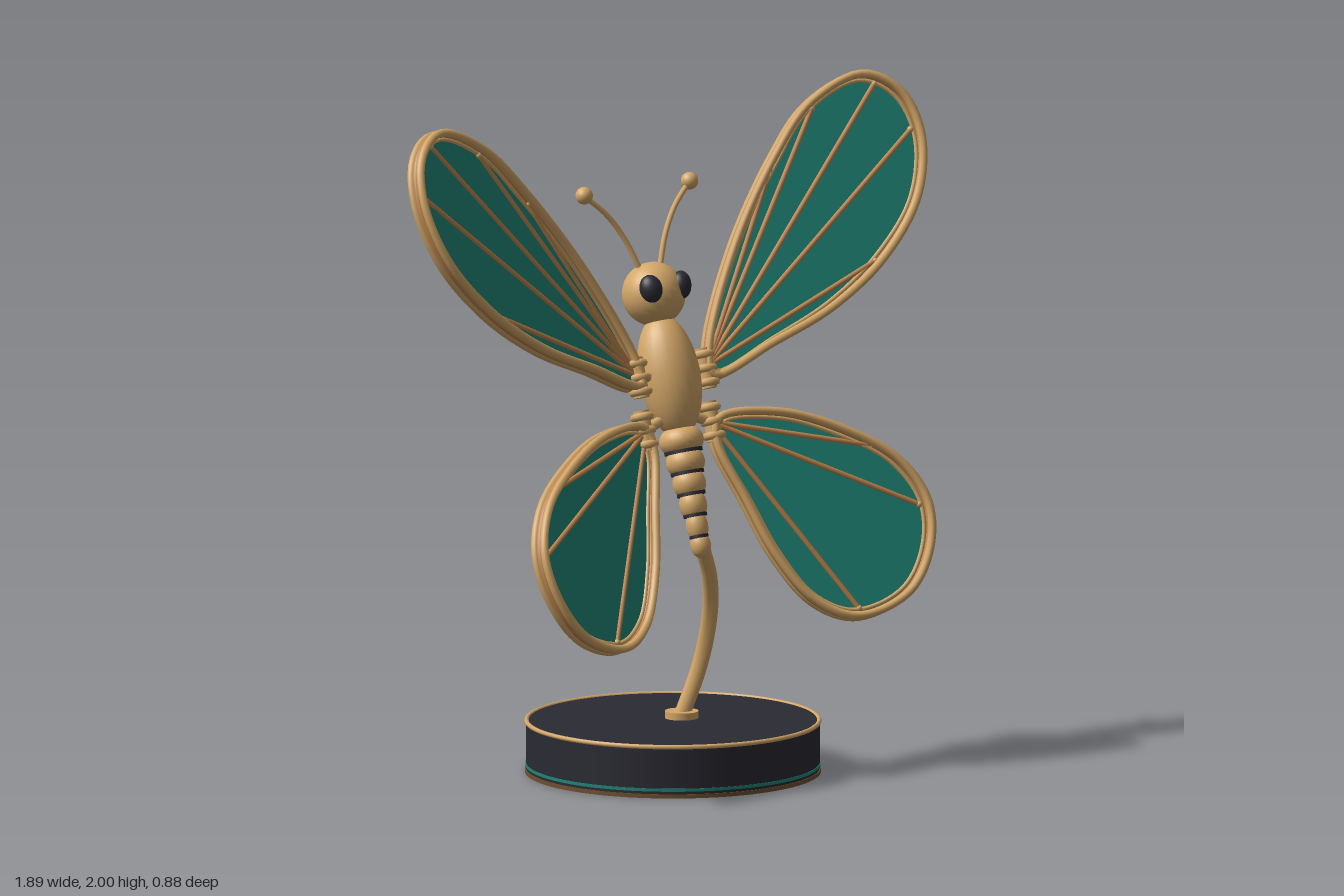
import * as THREE from 'three';

const V = (x, y, z) => new THREE.Vector3(x, y, z);
const mat = (name, color, side = THREE.FrontSide) => {
  const m = new THREE.MeshStandardMaterial({ color, side });
  m.name = name;
  return m;
};

export function createModel() {
  const gold = mat('gold', 0xd4a768);
  const copper = mat('copper', 0xc28850);
  const bronze = mat('bronze', 0x6e5030);
  const teal = mat('teal', 0x208577, THREE.DoubleSide);
  const dark = mat('charcoal', 0x2a2a33);

  const model = new THREE.Group();
  model.name = 'butterflyOrnament';

  const add = (name, geometry, material, pos = V(0, 0, 0), parent = model) => {
    const mesh = new THREE.Mesh(geometry, material);
    mesh.name = name;
    mesh.position.copy(pos);
    parent.add(mesh);
    return mesh;
  };
  const ball = (name, r, material, pos, parent) =>
    add(name, new THREE.SphereGeometry(r, 24, 16), material, pos, parent);
  const disc = (name, r, h, material, pos, parent) =>
    add(name, new THREE.CylinderGeometry(r, r, h, 24), material, pos, parent);
  const tube = (name, points, r, material, closed = false, parent = model) =>
    add(name, new THREE.TubeGeometry(new THREE.CatmullRomCurve3(points, closed), closed ? 96 : 24, r, 8, closed), material, V(0, 0, 0), parent);
  const rod = (name, a, b, r, material, parent) =>
    add(name, new THREE.TubeGeometry(new THREE.LineCurve3(a, b), 1, r, 8), material, V(0, 0, 0), parent);

  // Round base with trims
  const slab = (name, r, y0, y1, material) =>
    add(name, new THREE.CylinderGeometry(r, r, y1 - y0, 72), material, V(0, (y0 + y1) / 2, 0));
  slab('baseFoot', 0.437, 0, 0.012, bronze);
  slab('baseLowerBand', 0.434, 0.012, 0.02, dark);
  slab('baseStripe', 0.436, 0.02, 0.029, teal);
  slab('baseBody', 0.434, 0.029, 0.155, dark);
  add('baseRim', new THREE.TorusGeometry(0.432, 0.007, 8, 72).rotateX(Math.PI / 2), gold, V(0, 0.153, 0));

  // Curved stem
  disc('stemCollar', 0.05, 0.022, gold, V(0.04, 0.165, -0.01));
  tube('stem', [V(0.04, 0.16, -0.01), V(0.092, 0.3, 0.005), V(0.106, 0.4, 0.025),
    V(0.096, 0.5, 0.057), V(0.06, 0.6, 0.098), V(0, 0.7, 0.14)], 0.024, gold);

  // Leaning body: local origin at the thorax centre
  const body = new THREE.Group();
  body.name = 'body';
  body.position.set(0, 1.185, -0.016);
  body.rotation.x = -0.3;
  model.add(body);
  ball('thorax', 1, gold, V(0, 0, 0), body).scale.set(0.092, 0.185, 0.092);

  // Tapering abdomen rings with narrow dark joints
  const segments = 5;
  for (let i = 0; i < segments; i++) {
    const r = 0.067 - i * 0.0085;
    const y = -0.195 - i * 0.064;
    ball('abdomenSegment', 1, gold, V(0, y, 0), body).scale.set(r, 0.05, r);
    disc('abdomenJoint', r * 0.86, 0.01, dark, V(0, y - 0.032, 0), body);
  }
  ball('tailTip', 1, gold, V(0, -0.508, 0), body).scale.set(0.031, 0.04, 0.031);

  // Head
  ball('head', 0.095, gold, V(0, 1.42, -0.093));

  // Upper and lower wing outlines, given as outer edge points on the +x side
  const wings = [
    {
      name: 'upperWing', root: [0.13, 1.2, -0.005], slope: [0.27, -0.376], hingeDrop: 0.005, armRise: 0,
      edge: [[0.13, 1.235], [0.265, 1.51], [0.465, 1.785], [0.614, 1.926], [0.8, 1.995], [0.905, 1.935],
        [0.94, 1.81], [0.89, 1.634], [0.746, 1.46], [0.545, 1.326], [0.333, 1.24], [0.13, 1.165]],
      veins: [[0.45, 1.735], [0.62, 1.9], [0.825, 1.955], [0.905, 1.82], [0.71, 1.46]],
    },
    {
      name: 'lowerWing', root: [0.12, 1.04, 0.025], slope: [0.29, -0.351], hingeDrop: 0, armRise: 0.03,
      edge: [[0.13, 1.055], [0.317, 1.066], [0.52, 1.0], [0.667, 0.9], [0.73, 0.775], [0.709, 0.64],
        [0.614, 0.51], [0.44, 0.45], [0.317, 0.5], [0.222, 0.637], [0.159, 0.82], [0.111, 0.99]],
      veins: [[0.59, 0.94], [0.695, 0.765], [0.45, 0.485]],
    },
  ];

  const buildWing = ({ name, root, slope, hingeDrop, armRise, edge, veins }, s) => {
    const wing = new THREE.Group();
    wing.name = (s > 0 ? 'left' : 'right') + name[0].toUpperCase() + name.slice(1);
    model.add(wing);
    const depth = (x, y) => root[2] + slope[0] * (x - root[0]) + slope[1] * (y - root[1]);
    const normal = V(-slope[0], -slope[1], 1).normalize();
    // Point on the tilted wing plane, lifted along its normal and mirrored by s
    const at = (x, y, lift = 0) => {
      const p = V(x, y, depth(x, y)).addScaledVector(normal, lift);
      p.x *= s;
      return p;
    };
    const cx = edge.reduce((t, p) => t + p[0], 0) / edge.length;
    const cy = edge.reduce((t, p) => t + p[1], 0) / edge.length;
    const inset = d => edge.map(([x, y]) => {
      const k = 1 - d / Math.hypot(x - cx, y - cy);
      return [cx + (x - cx) * k, cy + (y - cy) * k];
    });

    // Membrane laid on the plane
    const rim = new THREE.CatmullRomCurve3(inset(0.015).map(([x, y]) => V(x, y, 0)), true).getPoints(80);
    const skin = new THREE.ShapeGeometry(new THREE.Shape(rim.map(p => new THREE.Vector2(p.x, p.y))));
    const pos = skin.attributes.position;
    for (let i = 0; i < pos.count; i++) {
      const p = at(pos.getX(i), pos.getY(i));
      pos.setXYZ(i, p.x, p.y, p.z);
    }
    skin.computeVertexNormals();
    add('membrane', skin, teal, V(0, 0, 0), wing);

    // Double outer frame, and a thin inner trim
    for (const lift of [-0.018, 0.018]) {
      tube('frame', inset(0.013).map(([x, y]) => at(x, y, lift)), 0.0125, gold, true, wing);
    }
    tube('frameCore', inset(0.015).map(([x, y]) => at(x, y)), 0.011, copper, true, wing);
    tube('innerTrim', inset(0.031).map(([x, y]) => at(x, y)), 0.007, gold, true, wing);

    // Veins fanning from the root to riveted ends
    for (const [x, y] of veins) {
      rod('vein', at(root[0], root[1]), at(x, y), 0.008, copper, wing);
      ball('rivet', 0.01, gold, at(x, y), wing);
    }

    // Hinge knuckle and arm to the body
    const hinge = new THREE.Group();
    hinge.name = 'hinge';
    hinge.position.set(s * 0.125, root[1] - hingeDrop, root[2]);
    hinge.rotation.x = -0.3;
    wing.add(hinge);
    disc('hingePin', 0.024, 0.12, gold, V(0, 0, 0), hinge);
    for (const y of [-0.042, 0, 0.042]) {
      add('hingeRing', new THREE.TorusGeometry(0.024, 0.012, 8, 24).rotateX(Math.PI / 2), gold, V(0, y, 0), hinge);
    }
    rod('hingeArm', V(0, 0, 0), V(-s * 0.085, armRise, 0), 0.016, gold, hinge);
  };

  for (const s of [1, -1]) {
    // Eyes and antennae
    const eye = ball('eye', 1, dark, V(s * 0.056, 1.45, -0.033));
    eye.scale.set(0.034, 0.042, 0.03);
    eye.rotation.set(-0.2, s * 0.6, s * -0.15);
    tube('antenna', [V(s * 0.035, 1.49, -0.11), V(s * 0.075, 1.585, -0.135),
      V(s * 0.125, 1.66, -0.155), V(s * 0.196, 1.725, -0.175)], 0.0085, gold);
    ball('antennaTip', 0.026, gold, V(s * 0.196, 1.725, -0.175));
    wings.forEach(w => buildWing(w, s));
  }

  return model;
}
